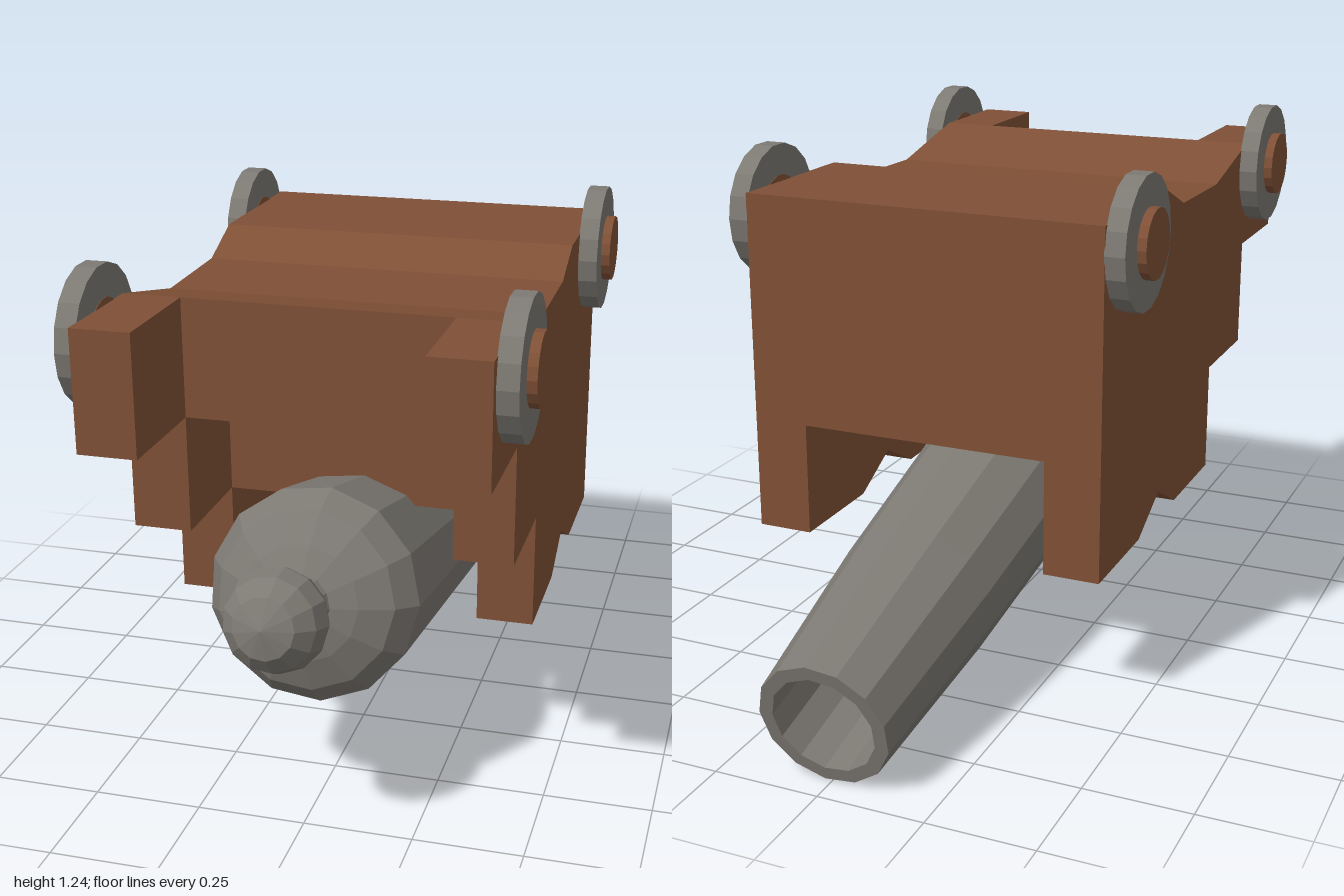
import * as THREE from 'three';

const wood = new THREE.MeshStandardMaterial({ color: 0x7f5036, flatShading: true });
wood.name = 'brown wood';
const iron = new THREE.MeshStandardMaterial({ color: 0x7d7973, flatShading: true });
iron.name = 'grey iron';

// Top edge shared by the cheeks and the bed, as [z, y]
const topEdge = [[0.6, 1.16], [0.33, 1.1], [0.06, 1.105], [-0.07, 1.16], [-0.48, 1.16]];

function add(group, name, geometry, material) {
  const mesh = new THREE.Mesh(geometry, material);
  mesh.name = name;
  group.add(mesh);
  return mesh;
}

// Extrudes a side outline of [z, y] points across x, centred on x = 0
function slab(points, width) {
  const shape = new THREE.Shape(points.map(([z, y]) => new THREE.Vector2(z, y)));
  return new THREE.ExtrudeGeometry(shape, { depth: width, bevelEnabled: false })
    .translate(0, 0, -width / 2)
    .rotateY(-Math.PI / 2);
}

export function createModel() {
  const model = new THREE.Group();
  model.name = 'overturnedCannon';

  // Carriage: stepped cheeks with a notch for the barrel, and a bed between
  const carriage = new THREE.Group();
  carriage.name = 'carriage';
  model.add(carriage);
  const cheek = [[0.87, 1.16], ...topEdge, [-0.48, 0.35], [-0.21, 0.35], [-0.07, 0.42], [0.06, 0.35],
    [0.33, 0.35], [0.33, 0.62], [0.6, 0.62], [0.6, 0.89], [0.87, 0.89]];
  const bed = [...topEdge, [-0.48, 0.62], [0.33, 0.62], [0.33, 0.89], [0.6, 0.89]];
  add(carriage, 'bed', slab(bed, 0.6), wood);

  for (const [side, s] of [['left', 1], ['right', -1]]) {
    add(carriage, side + 'Cheek', slab(cheek, 0.133), wood).position.x = s * 0.3665;

    // Wheels with wooden axle ends
    for (const [end, z] of [['Front', 0.695], ['Rear', -0.33]]) {
      const wheel = new THREE.Group();
      wheel.name = side + end + 'Wheel';
      wheel.position.set(s * 0.455, 1.096, z);
      carriage.add(wheel);
      add(wheel, 'rim', new THREE.CylinderGeometry(0.153, 0.153, 0.047, 18).rotateZ(Math.PI / 2), iron);
      add(wheel, 'axleEnd', new THREE.CylinderGeometry(0.08, 0.08, 0.07, 18).rotateZ(Math.PI / 2), wood)
        .position.x = s * 0.01;
    }
  }

  // Barrel: bore, muzzle, tapered body, breech, neck and knob, as [radius, length]
  const profile = [
    [0, 0.9], [0.122, 0.9], [0.122, 0], [0.154, 0], [0.19, 0.47], [0.24, 1.655], [0.2, 1.715],
    [0.13, 1.755], [0.072, 1.775], [0.053, 1.815], [0.066, 1.835], [0.1, 1.872], [0.113, 1.915],
    [0.1, 1.962], [0.066, 2.0], [0, 2.02],
  ].map(([r, t]) => new THREE.Vector2(r, t));
  const barrel = add(model, 'barrel', new THREE.LatheGeometry(profile, 13, Math.PI / 2), iron);
  barrel.position.set(0, 0.152, -0.965);
  barrel.rotation.x = Math.PI / 2 - 0.227;

  return model;
}
